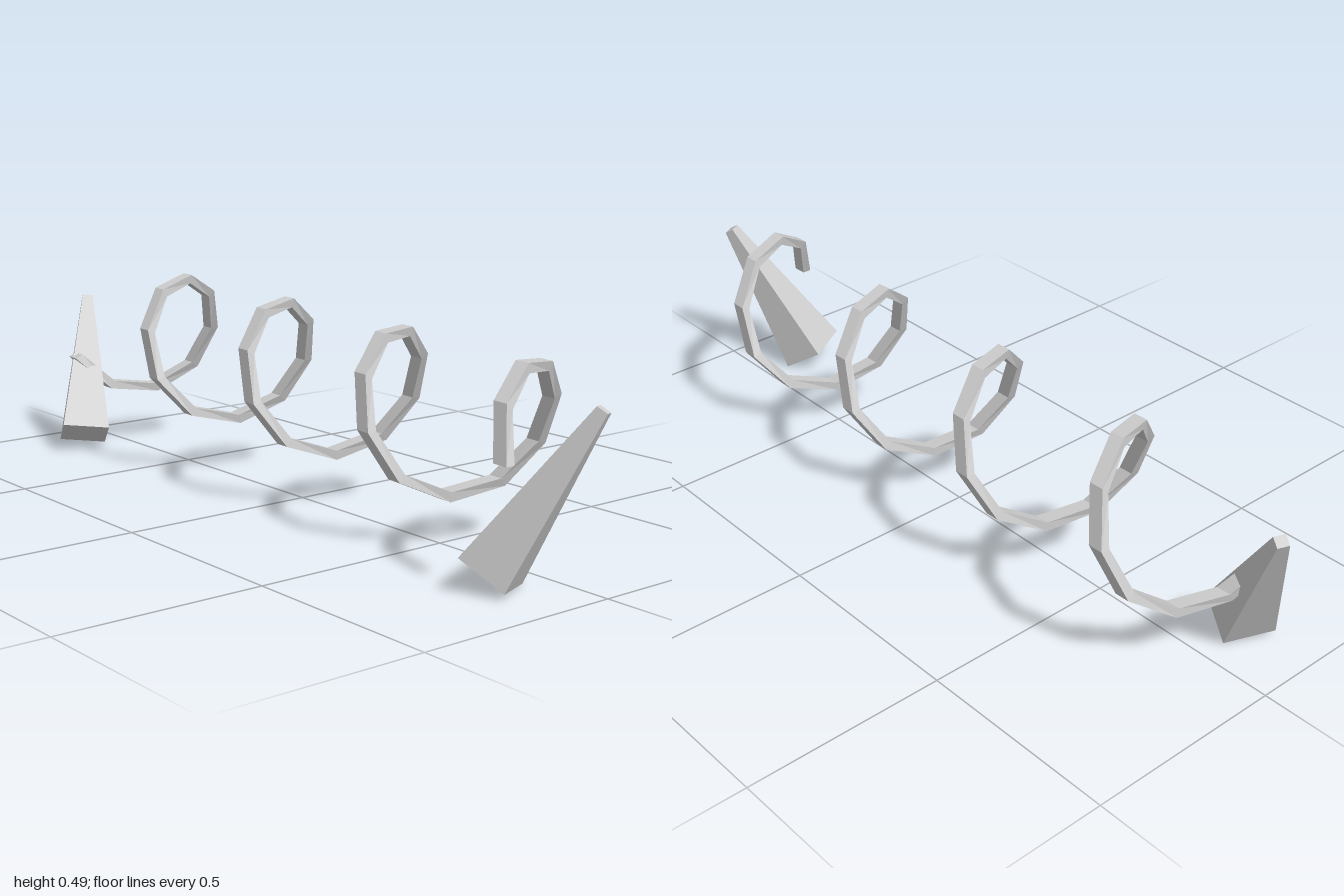
import * as THREE from 'three';

const material = new THREE.MeshStandardMaterial({ color: 0xcccccc, flatShading: true });
const V = (x, y, z) => new THREE.Vector3(x, y, z);

function addMesh(group, geometry, name) {
  const mesh = new THREE.Mesh(geometry, material);
  mesh.name = name;
  group.add(mesh);
}

// Coil: a rectangular section stepped around a slightly tilted axis
function coilGeometry() {
  const steps = 36, stepAngle = THREE.MathUtils.degToRad(39.3), stepLength = 0.048;
  const axis = V(1, -0.026, 0.0114), up = V(0.026, 1, 0), front = V(-0.0114, 0, 1);
  const end = V(0.848, 0.274, -0.02);
  const outer = 0.183, inner = 0.16, half = 0.019;
  const section = [[outer, -half], [outer, half], [inner, half], [inner, -half]];
  const positions = [], index = [];
  for (let i = 0; i <= steps; i++) {
    const t = i * stepAngle;
    for (const [r, a] of section) {
      const p = end.clone()
        .addScaledVector(axis, a - i * stepLength)
        .addScaledVector(front, r * Math.cos(t))
        .addScaledVector(up, r * Math.sin(t));
      positions.push(p.x, p.y, p.z);
    }
    if (i === steps) break;
    for (let k = 0; k < 4; k++) {
      const a = i * 4 + k, b = i * 4 + (k + 1) % 4;
      index.push(a, b, b + 4, a, b + 4, a + 4);
    }
  }
  // end caps
  const e = steps * 4;
  index.push(0, 2, 1, 0, 3, 2, e, e + 1, e + 2, e, e + 2, e + 3);
  const geometry = new THREE.BufferGeometry();
  geometry.setAttribute('position', new THREE.Float32BufferAttribute(positions, 3));
  geometry.setIndex(index);
  const flat = geometry.toNonIndexed();
  flat.computeVertexNormals();
  return flat;
}

// Handle: a square block leaning outward and narrowing to its tip
function handleGeometry(side) {
  const base = V(0.805, 0.039, 0.141), tip = V(0.9835, 0.392, 0.0135);
  const u = V(0.057, 0.013, 0.11), v = V(0.093, -0.063, -0.042);
  const taper = 0.225;
  const geometry = new THREE.BoxGeometry(1, 1, 1);
  const pos = geometry.attributes.position;
  for (let i = 0; i < pos.count; i++) {
    const t = pos.getZ(i) + 0.5;
    const s = THREE.MathUtils.lerp(1, taper, t);
    const p = base.clone().lerp(tip, t)
      .addScaledVector(u, s * side * pos.getX(i))
      .addScaledVector(v, s * pos.getY(i));
    pos.setXYZ(i, side * p.x, p.y, p.z);
  }
  geometry.computeVertexNormals();
  return geometry;
}

export function createModel() {
  const group = new THREE.Group();
  group.name = 'coilWithHandles';
  addMesh(group, coilGeometry(), 'coil');
  addMesh(group, handleGeometry(1), 'leftHandle');
  addMesh(group, handleGeometry(-1), 'rightHandle');
  return group;
}
